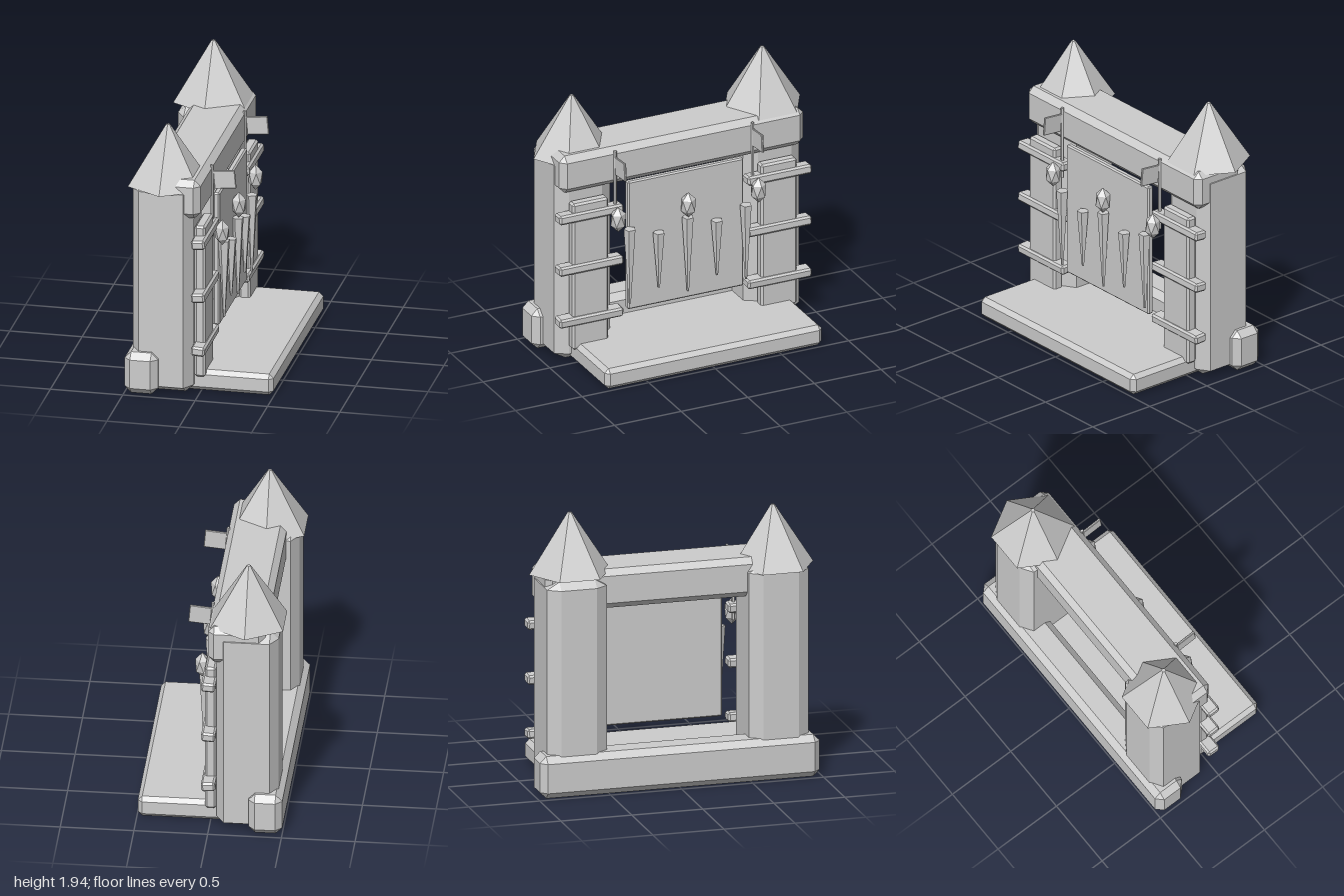
import * as THREE from 'three';
import { ConvexGeometry } from 'three/addons/geometries/ConvexGeometry.js';

const stone = new THREE.MeshStandardMaterial({ color: 0xcccccc, flatShading: true });
stone.name = 'light grey';

// Box with chamfered edges; bevel may differ per axis
function chamferBox(w, h, d, bx, by = bx, bz = bx) {
  const pts = [];
  for (const sx of [-1, 1]) for (const sy of [-1, 1]) for (const sz of [-1, 1]) {
    const x = w / 2, y = h / 2, z = d / 2;
    pts.push(
      new THREE.Vector3(sx * x, sy * (y - by), sz * (z - bz)),
      new THREE.Vector3(sx * (x - bx), sy * y, sz * (z - bz)),
      new THREE.Vector3(sx * (x - bx), sy * (y - by), sz * z));
  }
  return new ConvexGeometry(pts);
}

export function createModel() {
  const model = new THREE.Group();
  model.name = 'castleGate';

  const add = (name, geometry, x, y, z, tilt = 0) => {
    const mesh = new THREE.Mesh(geometry, stone);
    mesh.name = name;
    mesh.position.set(x, y, z);
    mesh.rotation.z = tilt;
    model.add(mesh);
    return mesh;
  };
  // Chamfered box given by its extents
  const block = (name, [x0, x1], [y0, y1], [z0, z1], ...bevel) =>
    add(name, chamferBox(x1 - x0, y1 - y0, z1 - z0, ...bevel),
      (x0 + x1) / 2, (y0 + y1) / 2, (z0 + z1) / 2);

  // Main masses
  block('floorSlab', [-0.3, 0.495], [0, 0.15], [-0.815, 0.815], 0.03);
  block('rearBeam', [-0.5, -0.27], [0, 0.295], [-0.985, 0.985], 0.045);
  block('lintel', [-0.38, 0.01], [1.27, 1.545], [-0.915, 0.915], 0.042);
  block('doorPanel', [0.0, 0.045], [0.335, 1.29], [-0.435, 0.435], 0.01);

  for (const s of [1, -1]) {
    // Towers with hexagonal roofs; the two roofs sit at different heights
    const roofBase = s > 0 ? 1.455 : 1.52;
    add('tower', chamferBox(0.42, 1.5, 0.42, 0.055, 0.05, 0.085), -0.255, 0.75, s * 0.71);
    add('towerRoof', new THREE.CylinderGeometry(0.014, 0.285, 0.42, 6),
      -0.25, roofBase + 0.21, s * 0.715);

    // Side plank with three crossbars
    add('sidePlank', chamferBox(0.075, 1.09, 0.27, 0.014), -0.003, 0.655, s * 0.707);
    [[1.1, 0.07], [0.715, 0.07], [0.33, -0.07]].forEach(([y, tilt]) =>
      add('crossbar', chamferBox(0.095, 0.066, 0.48, 0.013), 0.004, y, s * 0.707, tilt));

    // Flag on a pole
    add('flagPole', new THREE.CylinderGeometry(0.012, 0.012, 0.52, 6), 0.012, 1.265, s * 0.515);
    add('flag', chamferBox(0.15, 0.13, 0.016, 0.004), 0.099, 1.427, s * 0.515, 0.09);
  }

  // Hanging spikes across the door
  for (let i = -2; i <= 2; i++) {
    const short = Math.abs(i) === 1;
    const top = short ? 0.885 : 0.955, bottom = short ? 0.475 : 0.4;
    const spike = add('spike', new THREE.CylinderGeometry(0.042, 0.008, top - bottom, 5),
      0.077, (top + bottom) / 2, i * 0.218);
    spike.rotation.y = -Math.PI / 2;
  }

  // Faceted gems, turned so that a corner points up
  for (const z of [-0.527, 0, 0.527]) {
    const gem = new THREE.IcosahedronGeometry(0.093, 0);
    gem.rotateZ(-Math.atan(2 / (1 + Math.sqrt(5))));
    gem.scale(0.58, 1, 0.62);
    add('gem', gem, 0.083, 1.047, z);
  }

  return model;
}
